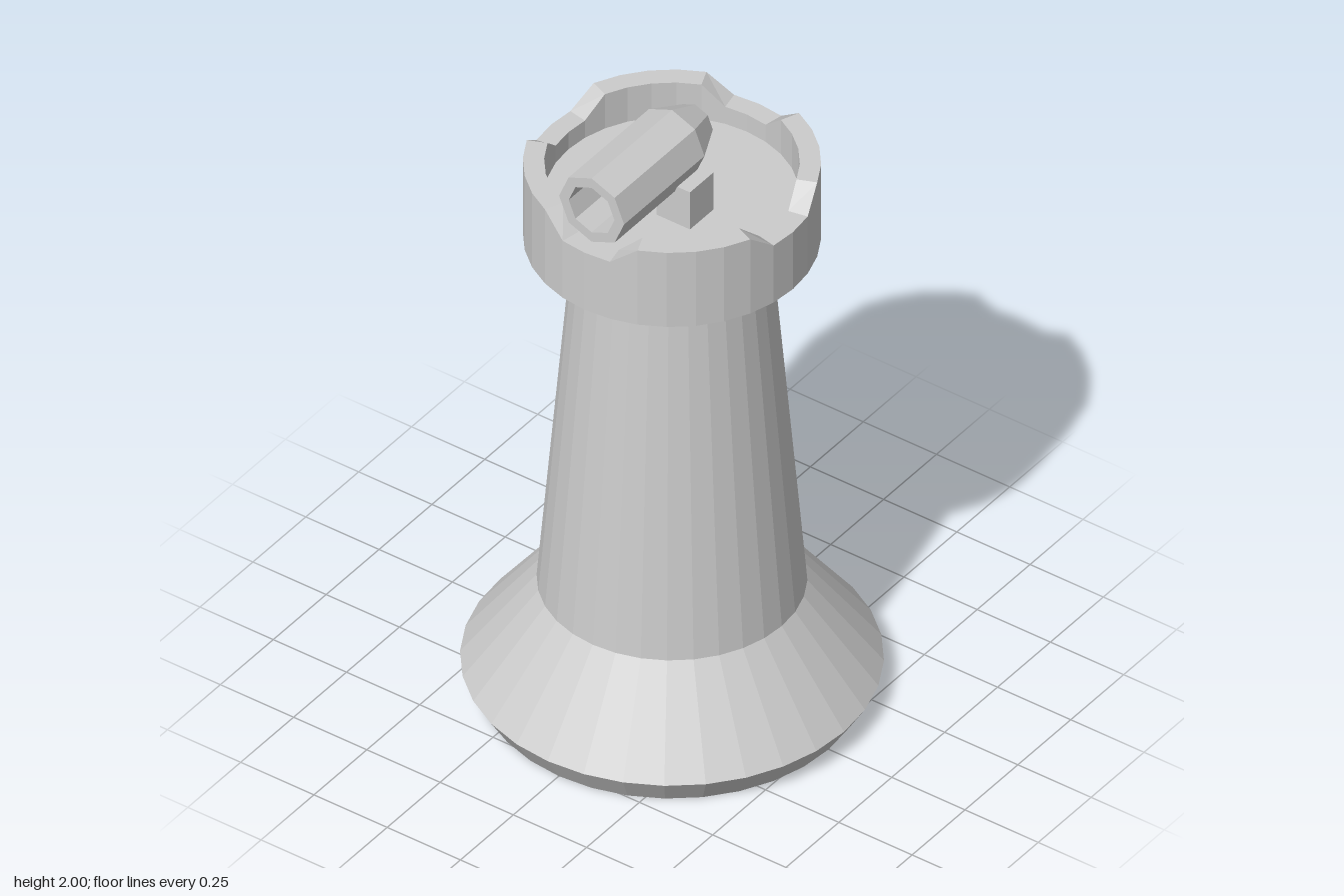
import * as THREE from 'three';

const material = new THREE.MeshStandardMaterial({ color: 0xcccccc, flatShading: true });

const SIDES = 32;
const RIM_TOP = 1.82, RIM_LOW = 1.76, FLOOR = 1.7;

function lathe(profile, sides) {
  return new THREE.LatheGeometry(profile.map(([r, y]) => new THREE.Vector2(r, y)), sides);
}

function addMesh(parent, name, geometry) {
  const mesh = new THREE.Mesh(geometry, material);
  mesh.name = name;
  parent.add(mesh);
  return mesh;
}

// Tower body with flared foot, collar and recessed platform, four notches cut in the rim
function towerGeometry() {
  const profile = [
    [0, 0], [0.535, 0], [0.587, 0.085], [0.375, 0.36], [0.282, 1.46],
    [0.413, 1.56], [0.413, RIM_TOP], [0.354, RIM_TOP], [0.354, FLOOR], [0, FLOOR],
  ];
  const geometry = lathe(profile, SIDES);
  const pos = geometry.attributes.position;
  for (let i = 0; i < pos.count; i++) {
    if (Math.abs(pos.getY(i) - RIM_TOP) > 1e-4) continue;
    const column = Math.floor(i / profile.length) % 8;
    if (column <= 1 || column === 7) pos.setY(i, RIM_LOW);
  }
  geometry.computeVertexNormals();
  return geometry;
}

// Eight-sided barrel lying along x, bored from the -x end
function barrelGeometry() {
  return lathe([
    [0, -0.13], [0.078, -0.13], [0.078, -0.38], [0.111, -0.38],
    [0.111, 0], [0.06, 0.11], [0, 0.11],
  ], 8).rotateZ(-Math.PI / 2);
}

export function createModel() {
  const model = new THREE.Group();
  model.name = 'cannonTower';
  addMesh(model, 'tower', towerGeometry());

  // Cannon on two support blocks
  const cannon = new THREE.Group();
  cannon.name = 'cannon';
  model.add(cannon);
  addMesh(cannon, 'barrel', barrelGeometry()).position.y = 1.889;
  for (const side of [1, -1]) {
    const block = addMesh(cannon, side > 0 ? 'frontSupport' : 'backSupport',
      new THREE.BoxGeometry(0.11, 0.13, 0.114));
    block.position.set(-0.04, FLOOR + 0.065, side * 0.073);
  }
  return model;
}
